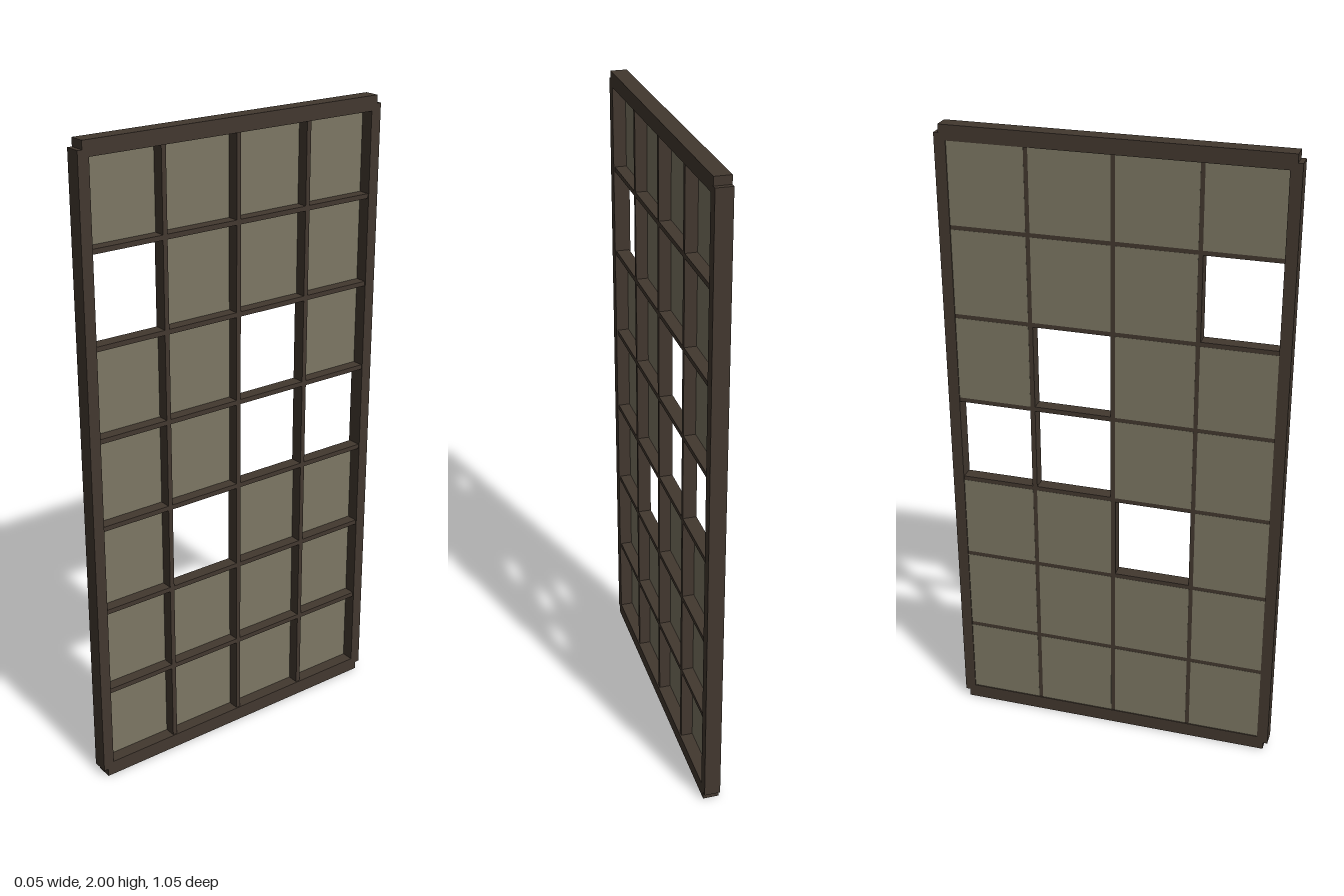
import * as THREE from 'three';

export function createModel() {
  const group = new THREE.Group();
  const wood = new THREE.MeshStandardMaterial({ color: 0x42382f });
  wood.name = 'dark wood';
  const glass = new THREE.MeshStandardMaterial({ color: 0x7c7763 });
  glass.name = 'dusty glass';

  const box = (name, material, [w, h, d], [x, y, z]) => {
    const mesh = new THREE.Mesh(new THREE.BoxGeometry(w, h, d), material);
    mesh.name = name;
    mesh.position.set(x, y, z);
    group.add(mesh);
  };

  const cols = 4, rows = 7;
  const halfZ = 0.51, bottom = 0.025, top = 1.975;
  const stepZ = (2 * halfZ) / cols, stepY = (top - bottom) / rows;
  const bar = 0.015;

  // Outer frame: stiles and rails with stepped corners
  for (const s of [-1, 1]) {
    box('stile', wood, [0.05, top - bottom, 0.035], [0, 1, s * halfZ]);
    box('rail', wood, [0.05, 0.046, 2 * halfZ + 0.006], [0, 1 + s * 0.977, 0]);
  }

  // Glazing bars
  for (let c = 1; c < cols; c++) {
    box('verticalBar', wood, [0.042, 1.92, bar], [0, 1, halfZ - c * stepZ]);
  }
  for (let r = 1; r < rows; r++) {
    box('horizontalBar', wood, [0.042, bar, 1.0], [0, top - r * stepY, 0]);
  }

  // Panes near the -x face; some are missing (row from top, column from +z)
  const missing = new Set(['1,0', '2,2', '3,2', '3,3', '4,1']);
  for (let r = 0; r < rows; r++) {
    for (let c = 0; c < cols; c++) {
      if (missing.has(`${r},${c}`)) continue;
      box('pane', glass, [0.006, stepY - bar + 0.002, stepZ - bar + 0.002],
        [-0.0185, top - (r + 0.5) * stepY, halfZ - (c + 0.5) * stepZ]);
    }
  }
  return group;
}
